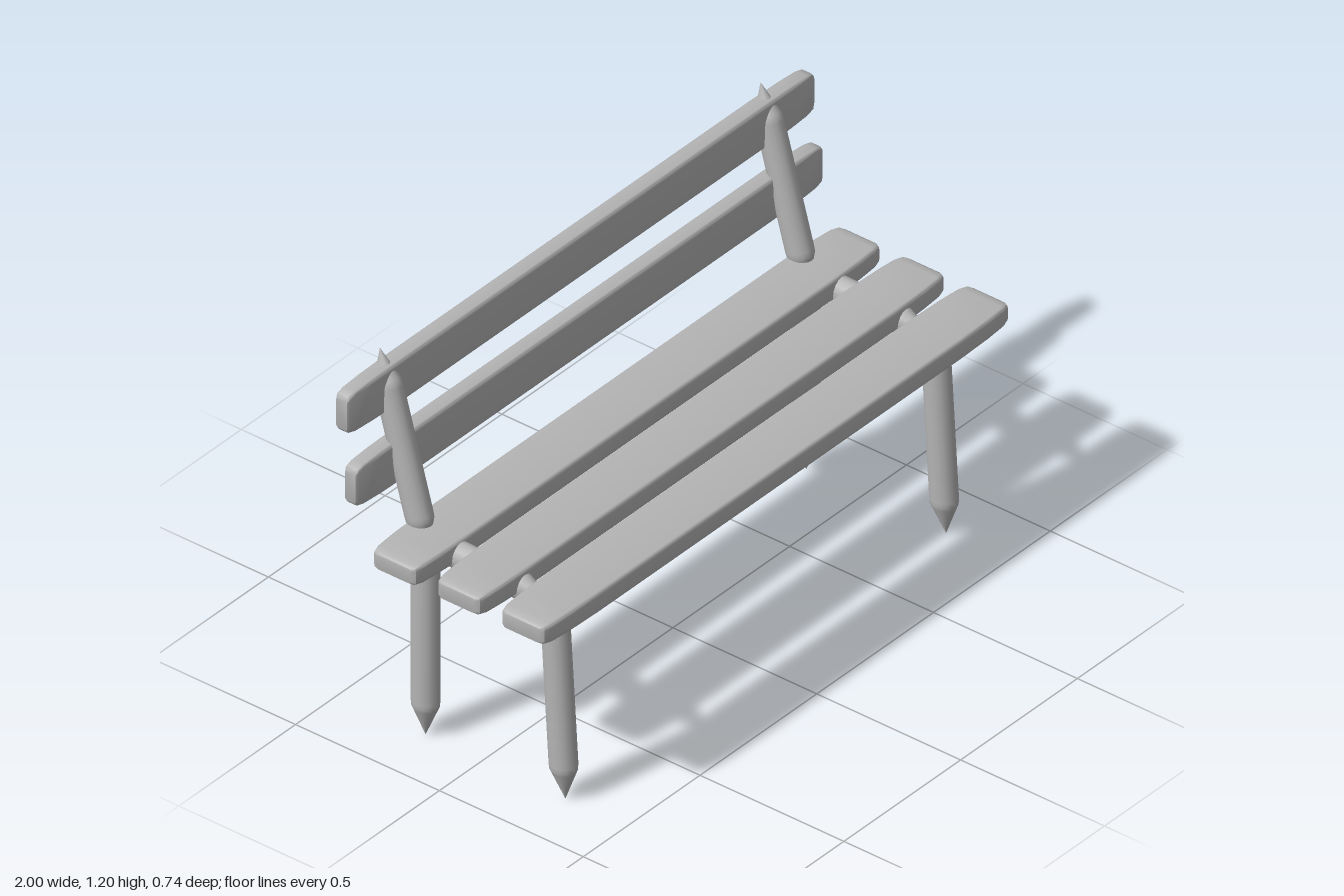
import * as THREE from 'three';
import { toCreasedNormals } from 'three/addons/utils/BufferGeometryUtils.js';

const wood = new THREE.MeshStandardMaterial({ color: 0xb4b4b4 });
wood.name = 'grey wood';

// [x position, cross-section scale] along a slat
const stations = [
  [-1, 0.7], [-0.992, 0.84], [-0.968, 0.92], [-0.9, 0.97], [-0.78, 1],
  [0.78, 1], [0.9, 0.97], [0.968, 0.92], [0.992, 0.84], [1, 0.7],
];

// Rounded plank along x whose ends narrow
function slat(name, y0, y1, z0, z1) {
  const w = (z1 - z0) / 2, h = (y1 - y0) / 2, r = 0.014;
  const shape = new THREE.Shape();
  shape.moveTo(-w + r, -h);
  shape.lineTo(w - r, -h).quadraticCurveTo(w, -h, w, -h + r);
  shape.lineTo(w, h - r).quadraticCurveTo(w, h, w - r, h);
  shape.lineTo(-w + r, h).quadraticCurveTo(-w, h, -w, h - r);
  shape.lineTo(-w, -h + r).quadraticCurveTo(-w, -h, -w + r, -h);
  const n = stations.length - 1;
  const geo = new THREE.ExtrudeGeometry(shape, { depth: n, steps: n, bevelEnabled: false, curveSegments: 4 });
  const p = geo.attributes.position;
  for (let i = 0; i < p.count; i++) {
    const [x, s] = stations[Math.round(p.getZ(i))];
    p.setXYZ(i, p.getX(i) * s, p.getY(i) * s, x);
  }
  geo.rotateY(Math.PI / 2);
  const mesh = new THREE.Mesh(toCreasedNormals(geo, 0.7), wood);
  mesh.name = name;
  mesh.position.set(0, (y0 + y1) / 2, (z0 + z1) / 2);
  return mesh;
}

// Round pole pointed at both ends, running between two (y, z) tips
function pole(name, x, [ya, za], [yb, zb]) {
  const length = Math.hypot(yb - ya, zb - za), tip = 0.1;
  const profile = [
    [0, 0], [0.036, tip - 0.01], [0.04, tip], [0.041, tip + 0.015],
    [0.041, length - tip - 0.015], [0.04, length - tip], [0.036, length - tip + 0.01], [0, length],
  ].map(([r, y]) => new THREE.Vector2(r, y));
  const geo = new THREE.LatheGeometry(profile, 16);
  geo.scale(0.92, 1, 1.04);
  const mesh = new THREE.Mesh(geo, wood);
  mesh.name = name;
  mesh.position.set(x, ya, za);
  mesh.rotation.x = Math.atan2(zb - za, yb - ya);
  return mesh;
}

export function createModel() {
  const bench = new THREE.Group();
  bench.name = 'bench';

  // Seat
  bench.add(slat('frontSeatSlat', 0.622, 0.69, 0.199, 0.373));
  bench.add(slat('middleSeatSlat', 0.622, 0.69, -0.024, 0.149));
  bench.add(slat('rearSeatSlat', 0.622, 0.69, -0.247, -0.074));

  // Backrest
  bench.add(slat('lowerBackSlat', 0.79, 0.932, -0.336, -0.283));
  bench.add(slat('upperBackSlat', 1.015, 1.157, -0.367, -0.312));

  // Frame on each side
  for (const [side, x] of [['left', 0.815], ['right', -0.815]]) {
    const frame = new THREE.Group();
    frame.name = side + 'Frame';
    frame.add(pole('frontLeg', x, [0, 0.288], [0.68, 0.247]));
    frame.add(pole('rearLeg', x, [0, -0.198], [0.68, -0.198]));
    frame.add(pole('seatRail', x, [0.628, 0.245], [0.644, -0.24]));
    frame.add(pole('backPost', x, [0.6, -0.19], [1.197, -0.357]));
    bench.add(frame);
  }
  return bench;
}
